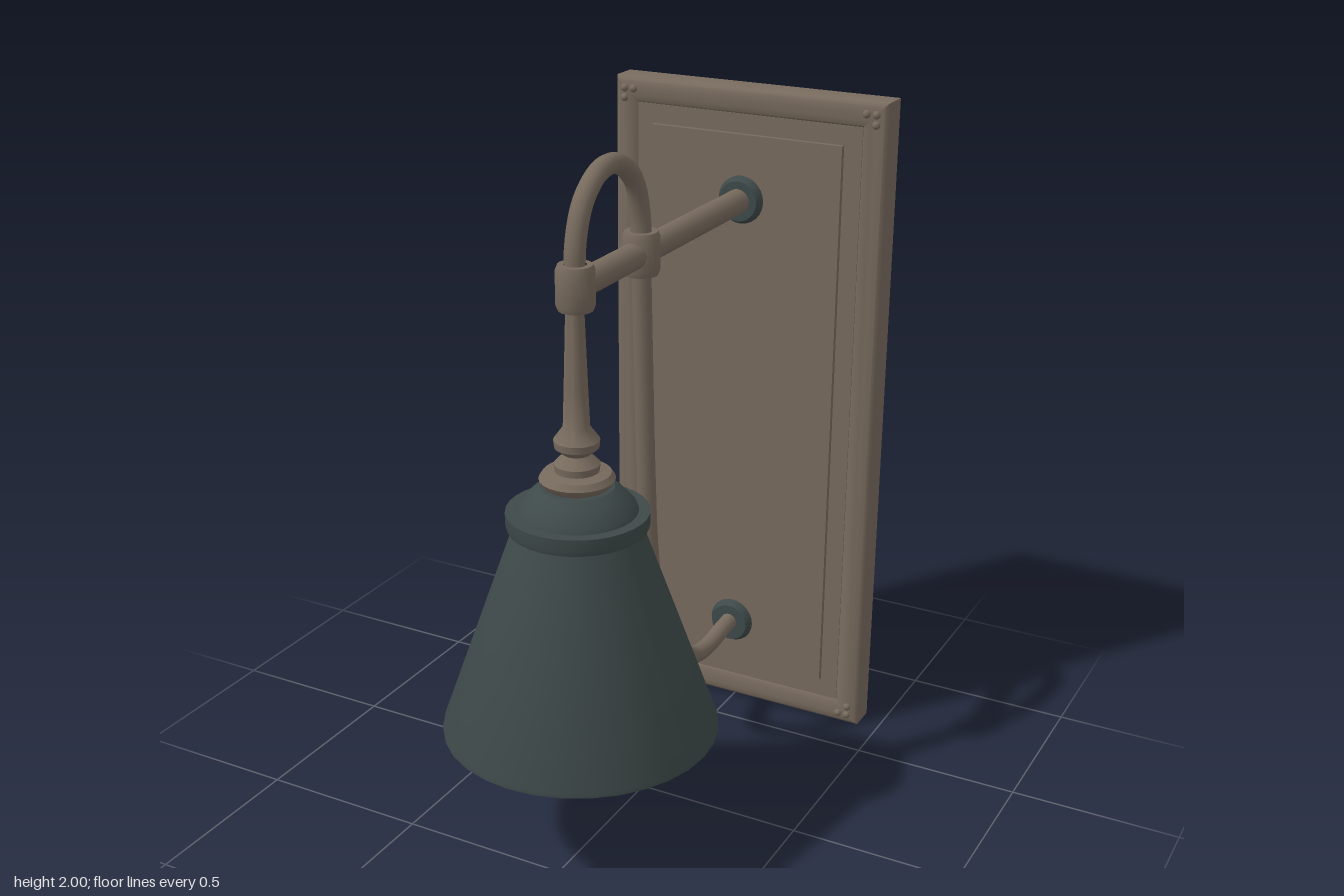
import * as THREE from 'three';
import { toCreasedNormals } from 'three/addons/utils/BufferGeometryUtils.js';

const bronze = new THREE.MeshStandardMaterial({ color: 0x776a5d });
bronze.name = 'aged bronze';
const iron = new THREE.MeshStandardMaterial({ color: 0x3e4949 });
iron.name = 'dark iron';
const glass = new THREE.MeshStandardMaterial({ color: 0xe4e4e4 });
glass.name = 'white glass';

const AXIS_X = -0.008, LAMP_Z = 0.35, ARM_Y = 1.675;

export function createModel() {
  const group = new THREE.Group();

  const add = (name, geometry, material, x = 0, y = 0, z = 0) => {
    const mesh = new THREE.Mesh(geometry, material);
    mesh.name = name;
    mesh.position.set(x, y, z);
    group.add(mesh);
    return mesh;
  };
  // Profile points are [radius, height], bottom to top for outward faces
  const lathe = (points, segments = 32, crease = 0.6) => toCreasedNormals(
    new THREE.LatheGeometry(points.map(([r, y]) => new THREE.Vector2(r, y)), segments), crease);
  const tube = (points, radius) => new THREE.TubeGeometry(
    new THREE.CatmullRomCurve3(points.map(([y, z]) => new THREE.Vector3(AXIS_X, y, z))),
    points.length * 6, radius, 14);

  // Mitred backplate frame: a [inset, z] section swept round the rectangle
  const section = [[0.082, -0.715], [0.065, -0.722], [0.04, -0.735], [0.012, -0.735],
    [0, -0.726], [0, -0.645], [0.01, -0.634], [0.03, -0.63], [0.052, -0.632], [0.07, -0.638], [0.082, -0.65]];
  const corners = [[1, 1], [-1, 1], [-1, -1], [1, -1]];
  const at = (c, [inset, z]) => [corners[c % 4][0] * (0.435 - inset), 1 + corners[c % 4][1] * (1 - inset), z];
  const vertices = [];
  for (let c = 0; c < 4; c++) {
    for (let i = 0; i < section.length - 1; i++) {
      const a = at(c, section[i]), b = at(c + 1, section[i]);
      const d = at(c, section[i + 1]), e = at(c + 1, section[i + 1]);
      vertices.push(...a, ...b, ...e, ...a, ...e, ...d);
    }
  }
  const frame = new THREE.BufferGeometry();
  frame.setAttribute('position', new THREE.Float32BufferAttribute(vertices, 3));
  add('backplateFrame', toCreasedNormals(frame, 0.8), bronze);
  add('backPanel', new THREE.BoxGeometry(0.72, 1.85, 0.08), bronze, 0, 1, -0.68);
  add('raisedPanel', new THREE.BoxGeometry(0.61, 1.73, 0.022), bronze, 0, 1.003, -0.635);

  // Three small studs at each corner of the frame
  const stud = new THREE.SphereGeometry(0.012, 10, 8);
  for (const [sx, sy] of corners) {
    for (const [x, y] of [[0.402, 0.937], [0.402, 0.966], [0.372, 0.966]]) {
      add('cornerStud', stud, bronze, sx * x, 1 + sy * y, -0.631);
    }
  }

  // Wall rosettes for the arm and the lower tube
  const rosette = lathe([[0, 0], [0.072, 0], [0.072, 0.012], [0.06, 0.034], [0, 0.034]], 24);
  for (const y of [ARM_Y, 0.28]) {
    add('wallRosette', rosette, iron, AXIS_X, y, -0.634).rotation.x = Math.PI / 2;
  }

  // Horizontal arm with two collars
  const arm = new THREE.CylinderGeometry(0.037, 0.037, 0.95, 20);
  add('arm', arm, bronze, AXIS_X, ARM_Y, -0.135).rotation.x = Math.PI / 2;
  const collar = lathe([[0.03, -0.06], [0.046, -0.06], [0.052, -0.045],
    [0.052, 0.045], [0.046, 0.06], [0.03, 0.06]], 20);
  for (const z of [0.345, -0.005]) add('collar', collar, bronze, AXIS_X, ARM_Y, z);

  // Gooseneck over the arm, then the long tube sweeping back to the wall
  add('gooseneck', tube([[1.65, 0.345], [1.78, 0.343], [1.88, 0.305], [1.938, 0.235], [1.952, 0.165],
    [1.935, 0.1], [1.88, 0.035], [1.78, 0], [1.65, -0.005]], 0.028), bronze);
  add('sweepTube', tube([[1.65, -0.005], [1.35, -0.018], [1.0, -0.035], [0.78, -0.053], [0.62, -0.085],
    [0.48, -0.15], [0.36, -0.24], [0.285, -0.34], [0.267, -0.44], [0.278, -0.54], [0.285, -0.62]], 0.027), bronze);

  // Turned stem and finial carrying the shade
  add('stem', lathe([[0, 1.12], [0.07, 1.12], [0.092, 1.135], [0.103, 1.153], [0.092, 1.17], [0.06, 1.175],
    [0.062, 1.195], [0.036, 1.222], [0.06, 1.242], [0.062, 1.262], [0.036, 1.298],
    [0.032, 1.4], [0.024, 1.63]], 24, 0.7), bronze, AXIS_X, 0, LAMP_Z);

  // Hollow conical shade, inner wall first
  add('shade', lathe([[0, 1.03], [0.165, 1.0], [0.373, 0.41], [0.376, 0.403], [0.384, 0.405], [0.384, 0.418],
    [0.176, 1.005], [0.19, 1.012], [0.194, 1.025], [0.194, 1.06], [0.163, 1.06], [0.158, 1.075],
    [0.125, 1.112], [0.1, 1.13], [0, 1.13]], 32, 0.6), iron, AXIS_X, 0, LAMP_Z);

  // Bulb with neck inside the shade
  const bulb = [];
  for (let i = 0; i <= 14; i++) {
    const t = (i / 14) * 2.45;
    bulb.push([0.17 * Math.sin(t), 0.63 - 0.17 * Math.cos(t)]);
  }
  bulb.push([0.07, 0.84], [0.06, 0.9], [0.06, 1.02]);
  add('bulb', lathe(bulb, 28, 0.9), glass, AXIS_X, 0, LAMP_Z);

  return group;
}
